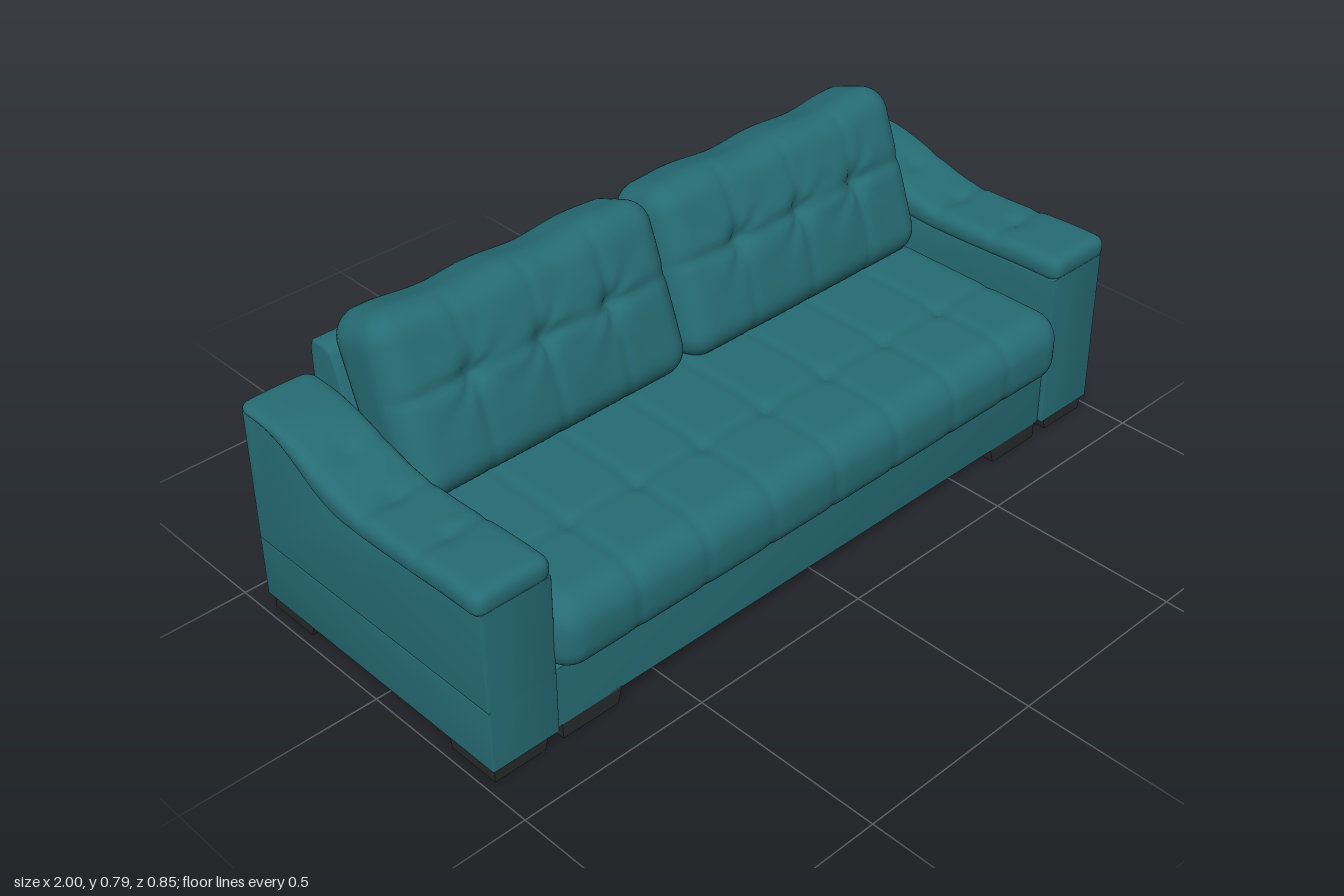
import * as THREE from 'three';
import { mergeVertices, toCreasedNormals } from 'three/addons/utils/BufferGeometryUtils.js';

const teal = new THREE.MeshStandardMaterial({ color: 0x266c74 });
teal.name = 'teal leather';
const dark = new THREE.MeshStandardMaterial({ color: 0x262a2b });
dark.name = 'dark wood';

const gauss = (d, s) => Math.exp(-(d * d) / (s * s));
const ss = THREE.MathUtils.smoothstep;

// Finely divided rounded box whose vertices are then moved by a rule
function softBox(w, h, d, segs, r, rule) {
  let g = new THREE.BoxGeometry(w, h, d, ...segs);
  g.deleteAttribute('normal');
  g.deleteAttribute('uv');
  g = mergeVertices(g, 1e-5);
  const p = g.attributes.position;
  const inner = new THREE.Vector3(w / 2 - r, h / 2 - r, d / 2 - r);
  const v = new THREE.Vector3(), q = new THREE.Vector3();
  for (let i = 0; i < p.count; i++) {
    v.fromBufferAttribute(p, i);
    q.copy(v).clamp(inner.clone().negate(), inner);
    v.sub(q).setLength(r).add(q);
    rule(v);
    p.setXYZ(i, v.x, v.y, v.z);
  }
  g.computeVertexNormals();
  return g;
}

// Side profile of [z, y] points, extruded across x and centred
function sideExtrude(points, width, bevel) {
  const shape = new THREE.Shape(points.map(([z, y]) => new THREE.Vector2(z, y)));
  const g = new THREE.ExtrudeGeometry(shape, {
    depth: width - 2 * bevel, bevelEnabled: true, bevelSize: bevel, bevelThickness: bevel,
    bevelOffset: -bevel, bevelSegments: 3,
  });
  g.rotateY(-Math.PI / 2).translate(width / 2 - bevel, 0, 0);
  return toCreasedNormals(g, 0.6);
}

function add(parent, name, geometry, material, x = 0, y = 0, z = 0) {
  const m = new THREE.Mesh(geometry, material);
  m.name = name;
  m.position.set(x, y, z);
  parent.add(m);
  return m;
}

// Height of the arm pad's upper and lower edges along z
const padTop = z => 0.497 + 0.073 * (1 - ss(z, -0.32, 0.0)) + 0.013 * ss(z, 0.05, 0.33);
const padLow = z => 0.438 + 0.108 * (1 - ss(z, -0.36, -0.06)) + 0.01 * ss(z, 0.0, 0.35);

function armPad() {
  return softBox(0.2, 0.07, 0.81, [18, 8, 60], 0.028, v => {
    const z = v.z - 0.017;
    const t = v.y / 0.07 + 0.5;
    let top = padTop(z) + 0.004 * (1 - (v.x / 0.1) ** 2);
    for (const c of [0.18, 0.0, -0.16]) {
      top -= 0.005 * gauss(z - c, 0.014) + 0.009 * gauss(Math.hypot(z - c, v.x), 0.03);
    }
    v.y = THREE.MathUtils.lerp(padLow(z), top, t);
    v.z = z;
    v.x *= 1 - 0.06 * (1 - ss(z, -0.3, -0.1));
  });
}

function armBody() {
  const pts = [[-0.42, 0.2], [0.385, 0.2]];
  for (let i = 0; i <= 24; i++) {
    const z = 0.385 - (0.805 * i) / 24;
    pts.push([z, padLow(z) + 0.014]);
  }
  return sideExtrude(pts, 0.185, 0.008);
}

// Tufted back cushion with creases fanning out from each button
function backCushion(phase) {
  return softBox(0.805, 0.435, 0.205, [72, 40, 14], 0.066, v => {
    const front = ss(v.z, -0.02, 0.09), back = ss(-v.z, 0.0, 0.09);
    const puff = (1 - (v.x / 0.403) ** 2) * (1 - (v.y / 0.218) ** 2);
    let d = 0.022 * Math.max(0, puff);
    for (const tx of [-0.2, 0, 0.2]) {
      const dx = v.x - tx, dy = v.y - 0.025;
      const r = Math.hypot(dx, dy), a = Math.atan2(dy, dx);
      d -= 0.02 * gauss(r, 0.035) + 0.004 * gauss(dx, 0.012);
      d += 0.006 * Math.cos(7 * a + phase + tx * 9) * Math.exp(-r / 0.08) * r / (r + 0.03);
    }
    d -= 0.006 * gauss(v.y - 0.025, 0.014);
    const { x, y } = v;
    v.z += front * d - back * 0.006 * puff;
    v.y += ss(y, 0.05, 0.2) * (0.004 * Math.sin(x * 23 + phase) + 0.008 * (x / 0.4) ** 2 - 0.003);
  });
}

// Seat cushion with cross seams and a row of buttons
function seatCushion() {
  return softBox(1.63, 0.19, 0.62, [130, 14, 44], 0.068, v => {
    const up = ss(v.y, -0.01, 0.08), out = ss(v.z, 0.22, 0.3);
    let d = 0;
    for (let k = -3; k <= 3; k++) {
      const dx = v.x - 0.2 * k;
      d -= 0.004 * gauss(dx, 0.013) + 0.008 * gauss(Math.hypot(dx, v.z - 0.085), 0.025);
    }
    const seam = -0.004 * gauss(v.z - 0.085, 0.015);
    const bulge = 0.008 * (1 - (v.y / 0.095) ** 2);
    v.y += up * (d + seam + 0.002);
    v.z += out * (d + bulge);
  });
}

// Block foot; its bottom edge is cut back on the inner sides
function foot(w, d, sx, sz, tx, tz) {
  const g = new THREE.BoxGeometry(w, 0.045, d);
  const p = g.attributes.position;
  for (let i = 0; i < p.count; i++) {
    if (p.getY(i) > 0) continue;
    if (p.getX(i) * sx < 0) p.setX(i, p.getX(i) + sx * tx);
    if (p.getZ(i) * sz < 0) p.setZ(i, p.getZ(i) + sz * tz);
  }
  g.computeVertexNormals();
  return g;
}

export function createModel() {
  const sofa = new THREE.Group();
  sofa.name = 'sofa';

  // Base and the panel beneath it
  add(sofa, 'base', sideExtrude([[-0.41, 0.04], [0.375, 0.04], [0.375, 0.2], [-0.41, 0.2]], 1.61, 0.006), teal);
  add(sofa, 'underPanel', new THREE.BoxGeometry(1.44, 0.008, 0.62), teal, 0, 0.039, -0.02);

  // Back frame
  add(sofa, 'backFrame', sideExtrude([
    [-0.418, 0.04], [-0.2, 0.04], [-0.27, 0.45], [-0.318, 0.585], [-0.333, 0.63], [-0.342, 0.646],
    [-0.357, 0.655], [-0.395, 0.655], [-0.411, 0.648], [-0.418, 0.63],
  ], 1.6, 0.008), teal);

  // Seat
  add(sofa, 'seatCushion', seatCushion(), teal, 0, 0.284, 0.108);

  for (const s of [1, -1]) {
    const side = s > 0 ? 'left' : 'right';

    // Back cushion, leaning on the frame
    const cushion = add(sofa, side + 'BackCushion', backCushion(s > 0 ? 0.6 : 2.4), teal, s * 0.403, 0.56, -0.193);
    cushion.rotation.x = -0.35;

    // Arm: lower panel, upper panel and soft pad
    const arm = new THREE.Group();
    arm.name = side + 'Arm';
    arm.position.x = s * 0.895;
    sofa.add(arm);
    add(arm, 'lowerPanel', sideExtrude([[-0.42, 0.04], [0.385, 0.04], [0.385, 0.203], [-0.42, 0.203]], 0.183, 0.005), teal);
    add(arm, 'upperPanel', armBody(), teal);
    add(arm, 'armPad', armPad(), teal, s * 0.004, 0, 0);

    // Feet: an angled corner foot and a straight inner foot at each corner
    for (const f of [1, -1]) {
      const edge = f > 0 ? 0.375 : -0.41;
      const feet = new THREE.Group();
      feet.name = side + (f > 0 ? 'Front' : 'Back') + 'Feet';
      sofa.add(feet);
      add(feet, 'cornerFootAcross', foot(0.15, 0.06, s, f, 0.012, 0.004), dark, s * 0.9, 0.0225, edge - f * 0.03);
      add(feet, 'cornerFootAlong', foot(0.06, 0.153, s, f, 0.004, 0.012), dark, s * 0.945, 0.0225, edge - f * 0.0765);
      add(feet, 'innerFoot', foot(0.17, 0.07, s, f, 0.012, 0.004), dark, s * 0.703, 0.0225, edge - f * 0.035);
    }
  }
  return sofa;
}
